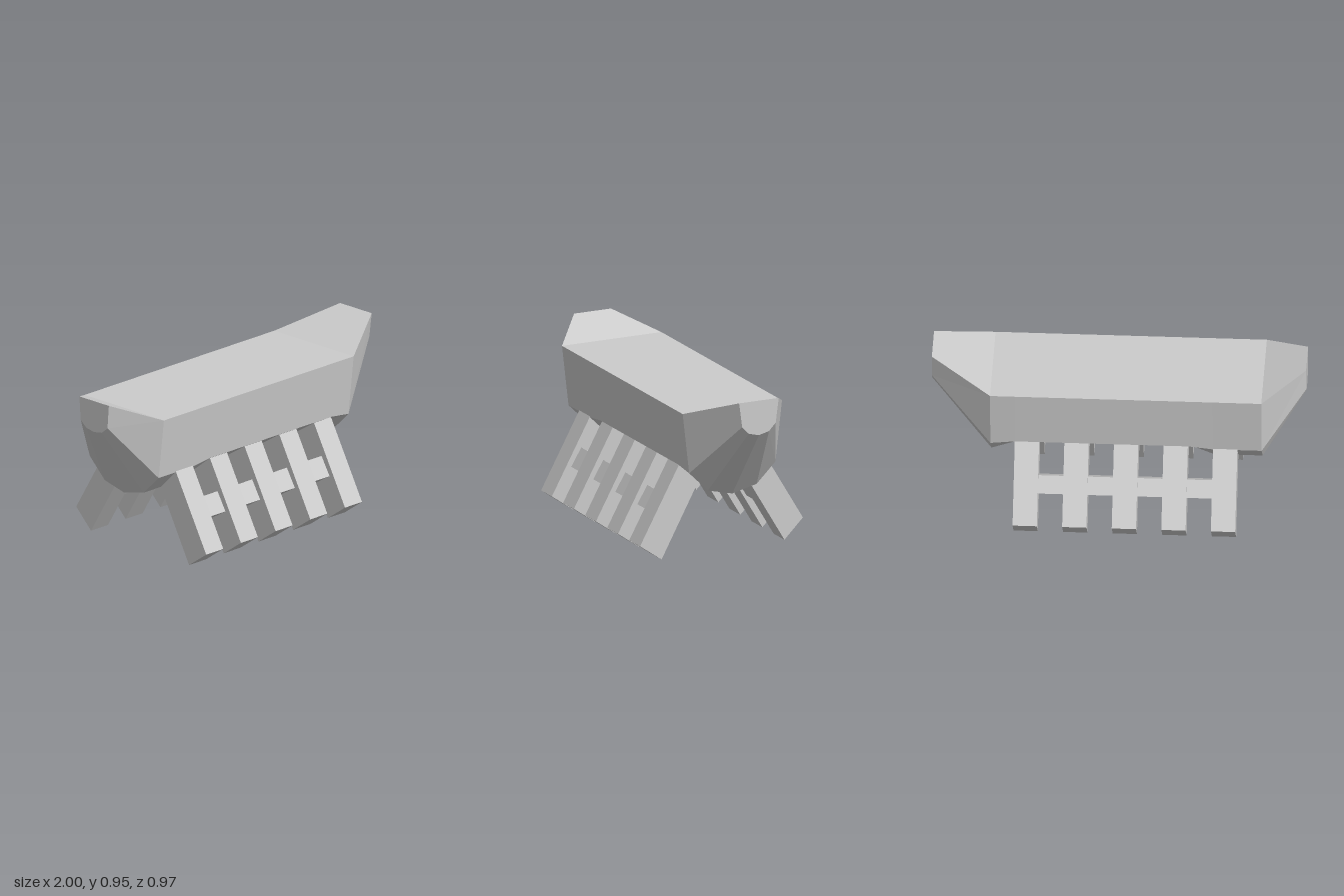
import * as THREE from 'three';

const material = new THREE.MeshStandardMaterial({ color: 0xcccccc, flatShading: true });

// Half cross-sections of the hull as [z, y], from deck edge to keel
const LEFT_END = [[0.11, 0.93], [0.1, 0.8], [0.057, 0.765], [0, 0.755]];
const FULL = [[0.296, 0.835], [0.257, 0.5], [0.145, 0.39], [0, 0.355]];
const MIDDLE = [[0.296, 0.835], [0.26, 0.517], [0.145, 0.445], [0, 0.355]];
const RIGHT_END = [[0.118, 0.955], [0.1, 0.82], [0.06, 0.778], [0, 0.763]];

const STATIONS = [
  [-1, LEFT_END], [-0.77, FULL], [-0.51, FULL], [-0.38, MIDDLE],
  [0.55, MIDDLE], [0.68, FULL], [1, RIGHT_END],
];

// Loft the mirrored sections along x and close both ends
function hullGeometry() {
  const positions = [], index = [];
  for (const [x, half] of STATIONS) {
    const mirrored = half.slice(0, -1).reverse().map(([z, y]) => [-z, y]);
    for (const [z, y] of [...half, ...mirrored]) positions.push(x, y, z);
  }
  const n = 7, last = (STATIONS.length - 1) * n;
  for (let s = 0; s < last; s += n) {
    for (let j = 0; j < n; j++) {
      const a = s + j, b = s + (j + 1) % n;
      index.push(a, b, a + n, b, b + n, a + n);
    }
  }
  for (let j = 1; j < n - 1; j++) {
    index.push(0, j + 1, j);
    index.push(last, last + j, last + j + 1);
  }
  const geometry = new THREE.BufferGeometry();
  geometry.setAttribute('position', new THREE.Float32BufferAttribute(positions, 3));
  geometry.setIndex(index);
  const flat = geometry.toNonIndexed();
  flat.computeVertexNormals();
  return flat;
}

// Prism with a [z, y] outline, running from x0 to x1
function prism(name, outline, x0, x1) {
  const shape = new THREE.Shape(outline.map(([z, y]) => new THREE.Vector2(z, y)));
  const geometry = new THREE.ExtrudeGeometry(shape, { depth: x1 - x0, bevelEnabled: false });
  geometry.rotateY(-Math.PI / 2);
  geometry.translate(x1, 0, 0);
  const mesh = new THREE.Mesh(geometry, material);
  mesh.name = name;
  return mesh;
}

// Slanted leg and crossbar outlines for each side
const SIDES = [
  {
    name: 'front',
    leg: [[0.485, 0.09], [0.357, 0], [0.12, 0.44], [0.228, 0.56]],
    bar: [[0.31, 0.34], [0.37, 0.24], [0.27, 0.18], [0.21, 0.28]],
  },
  {
    name: 'back',
    leg: [[-0.485, 0.125], [-0.375, 0.015], [-0.12, 0.44], [-0.224, 0.56]],
    bar: [[-0.33, 0.35], [-0.38, 0.265], [-0.28, 0.205], [-0.23, 0.29]],
  },
];

export function createModel() {
  const model = new THREE.Group();
  model.name = 'trough';

  const hull = new THREE.Mesh(hullGeometry(), material);
  hull.name = 'hull';
  model.add(hull);

  for (const { name, leg, bar } of SIDES) {
    const rack = new THREE.Group();
    rack.name = `${name}Rack`;
    for (let i = 0; i < 5; i++) {
      const x = -0.64 + i * 0.265;
      rack.add(prism(`${name}Leg`, leg, x, x + 0.13));
      // Crossbar in the gap to the next leg
      if (i < 4) rack.add(prism(`${name}Crossbar`, bar, x + 0.13, x + 0.265));
    }
    model.add(rack);
  }
  return model;
}
